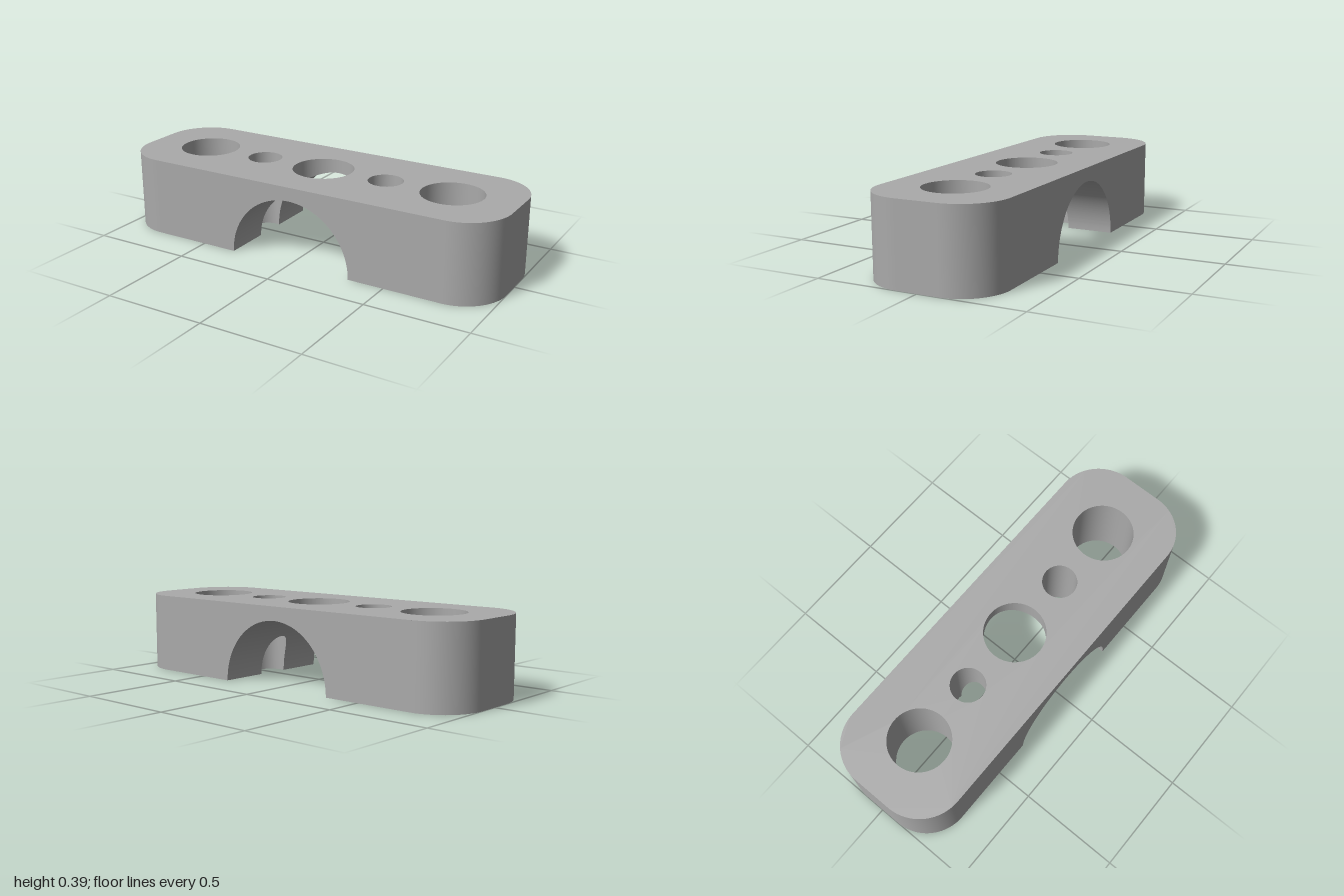
import * as THREE from 'three';

const W = 1, D = 0.318, H = 0.388;   // half length, half depth, height
const CORNER = 0.22;                 // rounded corner radius in plan
const R = 0.32;                      // arch radius
const SEG = 72;
const HOLES = [
  { x: -0.68, r: 0.15, name: 'leftEndHole' },
  { x: -0.34, r: 0.085, name: 'leftPinHole' },
  { x: 0, r: 0.15, name: 'centreHole' },
  { x: 0.34, r: 0.085, name: 'rightPinHole' },
  { x: 0.68, r: 0.15, name: 'rightEndHole' },
];
HOLES[0].name = 'rightEndHole'; HOLES[1].name = 'rightPinHole';
HOLES[3].name = 'leftPinHole'; HOLES[4].name = 'leftEndHole';

// underside height at x: arch ceiling or ground
const low = x => Math.sqrt(Math.max(0, R * R - x * x));
// half width of the hole opening at x
const gap = x => Math.max(...HOLES.map(h => Math.sqrt(Math.max(0, h.r ** 2 - (x - h.x) ** 2))));
const sortUnique = a => a.sort((p, q) => p - q).filter((v, i) => i === 0 || v - a[i - 1] > 1e-6);

// ruled strip between two matching rows of points
function strip(bottom, top) {
  const pos = [], idx = [];
  bottom.forEach((p, i) => {
    pos.push(...p, ...top[i]);
    if (i) {
      const a = 2 * i - 2;
      idx.push(a, a + 2, a + 1, a + 1, a + 2, a + 3);
    }
  });
  const g = new THREE.BufferGeometry();
  g.setAttribute('position', new THREE.Float32BufferAttribute(pos, 3));
  g.setIndex(idx);
  g.computeVertexNormals();
  return g;
}

export function createModel() {
  const group = new THREE.Group();
  const grey = new THREE.MeshStandardMaterial({ color: 0xaaaaaa });
  grey.name = 'plain grey';
  const add = (name, geometry, turned = false) => {
    const m = new THREE.Mesh(geometry, grey);
    m.name = name;
    if (turned) m.rotation.y = Math.PI;
    group.add(m);
  };
  const e = W - CORNER, f = D - CORNER;

  // top face with five holes
  const top = new THREE.Shape();
  top.moveTo(-e, -D).lineTo(e, -D);
  top.absarc(e, -f, CORNER, -Math.PI / 2, 0, false);
  top.absarc(e, f, CORNER, 0, Math.PI / 2, false);
  top.absarc(-e, f, CORNER, Math.PI / 2, Math.PI, false);
  top.absarc(-e, -f, CORNER, Math.PI, Math.PI * 1.5, false);
  for (const h of HOLES) top.holes.push(new THREE.Path().absarc(h.x, 0, h.r, 0, Math.PI * 2, true));
  add('topFace', new THREE.ShapeGeometry(top, SEG / 2).rotateX(-Math.PI / 2).translate(0, H, 0));

  // front and back faces with the arch cut out
  const face = new THREE.Shape();
  face.moveTo(-e, 0).lineTo(-R, 0);
  face.absarc(0, 0, R, Math.PI, 0, true);
  face.lineTo(e, 0).lineTo(e, H).lineTo(-e, H);
  const faceGeo = new THREE.ShapeGeometry(face, SEG).translate(0, 0, D);
  add('frontFace', faceGeo);
  add('backFace', faceGeo, true);

  // rounded ends
  const end = new THREE.Path();
  end.absarc(e, f, CORNER, Math.PI / 2, 0, true);
  end.absarc(e, -f, CORNER, 0, -Math.PI / 2, true);
  const endPts = end.getPoints(24);
  const endGeo = strip(endPts.map(p => [p.x, 0, p.y]), endPts.map(p => [p.x, H, p.y]));
  add('leftEnd', endGeo);
  add('rightEnd', endGeo, true);

  // feet: bottom faces, bitten into by the pin holes
  const pin = HOLES[3], t0 = Math.acos((R - pin.x) / pin.r);
  const foot = new THREE.Shape();
  foot.moveTo(R, -D).lineTo(e, -D);
  foot.absarc(e, -f, CORNER, -Math.PI / 2, 0, false);
  foot.absarc(e, f, CORNER, 0, Math.PI / 2, false);
  foot.lineTo(R, D);
  foot.absarc(pin.x, 0, pin.r, t0, -t0, true);
  foot.holes.push(new THREE.Path().absarc(HOLES[4].x, 0, HOLES[4].r, 0, Math.PI * 2, true));
  const footGeo = new THREE.ShapeGeometry(foot, SEG / 2).rotateX(Math.PI / 2);
  add('leftFoot', footGeo);
  add('rightFoot', footGeo, true);

  // arch ceiling: two halves that leave the hole openings free
  const xs = [];
  for (let i = 0; i <= SEG; i++) {
    xs.push(-R * Math.cos(Math.PI * i / SEG));
    for (const h of HOLES) xs.push(h.x + h.r * Math.cos(Math.PI * i / SEG));
  }
  const archXs = sortUnique(xs.filter(x => Math.abs(x) <= R));
  const archGeo = strip(archXs.map(x => [x, low(x), gap(x)]), archXs.map(x => [x, low(x), D]));
  add('archFront', archGeo);
  add('archBack', archGeo, true);

  // hole walls, running down to the arch or the ground
  for (const h of HOLES) {
    const ts = [];
    for (let i = 0; i <= SEG; i++) ts.push(2 * Math.PI * i / SEG);
    for (const x of archXs) {
      if (Math.abs(x - h.x) < h.r) {
        const t = Math.acos((x - h.x) / h.r);
        ts.push(t, 2 * Math.PI - t);
      }
    }
    const ring = sortUnique(ts).map(t => [h.x + h.r * Math.cos(t), h.r * Math.sin(t)]);
    add(h.name, strip(ring.map(([x, z]) => [x, low(x), z]), ring.map(([x, z]) => [x, H, z])));
  }
  return group;
}
